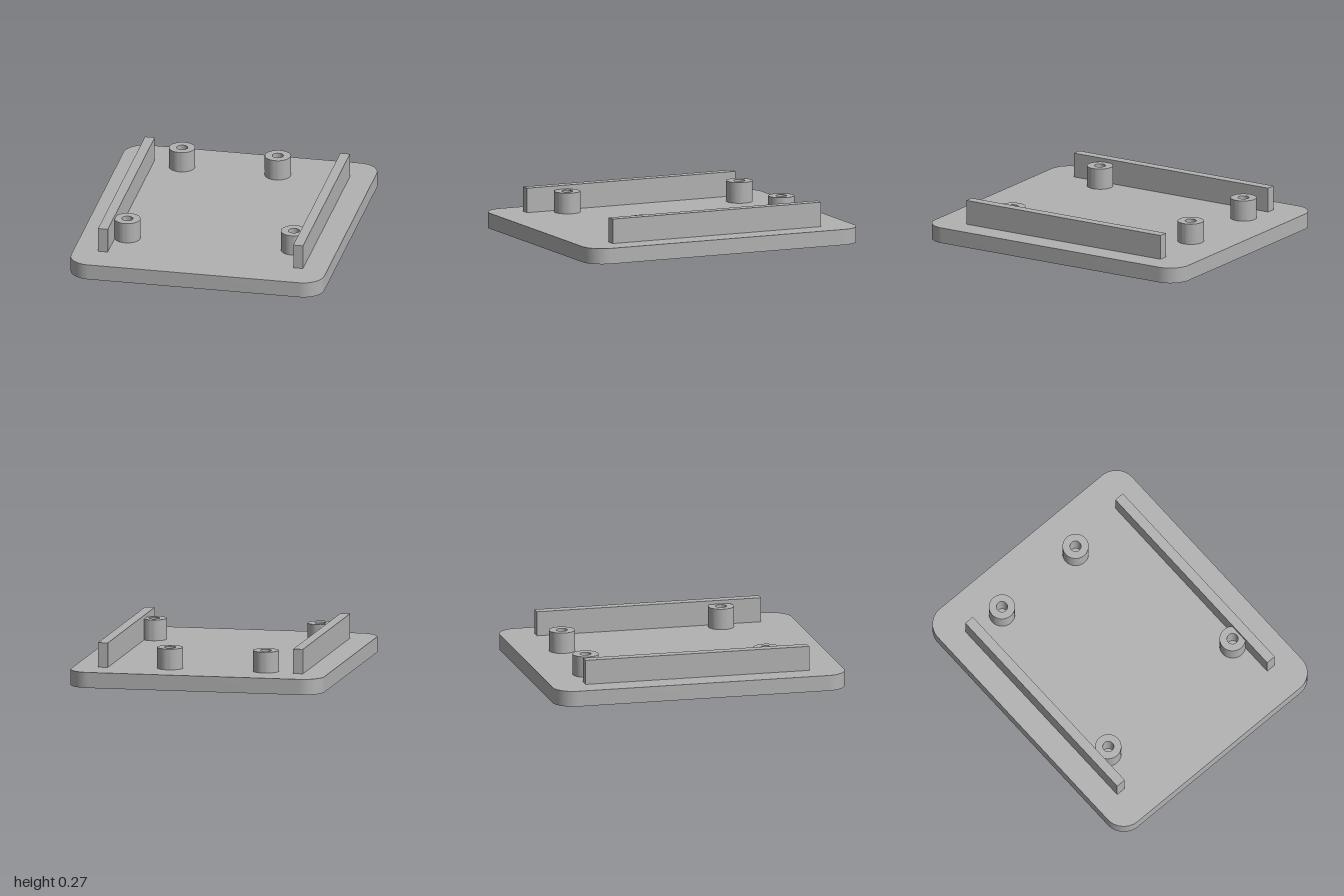
import * as THREE from 'three';
import { toCreasedNormals } from 'three/addons/utils/BufferGeometryUtils.js';

const PLATE_TOP = 0.105;

// Extrudes a plan outline upwards from y = 0, smooth round the curves
function extrudeUp(shape, height, curveSegments) {
  const geometry = new THREE.ExtrudeGeometry(shape, { depth: height, bevelEnabled: false, curveSegments });
  geometry.rotateX(-Math.PI / 2);
  return toCreasedNormals(geometry, 0.6);
}

function roundedRectangle(halfX, halfY, r) {
  const shape = new THREE.Shape();
  shape.absarc(halfX - r, halfY - r, r, 0, Math.PI / 2);
  shape.absarc(-halfX + r, halfY - r, r, Math.PI / 2, Math.PI);
  shape.absarc(-halfX + r, -halfY + r, r, Math.PI, Math.PI * 1.5);
  shape.absarc(halfX - r, -halfY + r, r, Math.PI * 1.5, Math.PI * 2);
  shape.closePath();
  return shape;
}

export function createModel() {
  const model = new THREE.Group();
  model.name = 'mountingPlate';
  const grey = new THREE.MeshStandardMaterial({ color: 0xb2b2b2 });
  grey.name = 'grey plastic';

  const add = (name, geometry, x, y, z) => {
    const mesh = new THREE.Mesh(geometry, grey);
    mesh.name = name;
    mesh.position.set(x, y, z);
    model.add(mesh);
  };

  // Base plate with rounded corners
  add('basePlate', extrudeUp(roundedRectangle(0.86, 1, 0.143), PLATE_TOP, 16), 0, 0, 0);

  // Side rails
  const railGeometry = new THREE.BoxGeometry(0.066, 0.165, 1.534);
  for (const side of [-1, 1]) {
    add(side > 0 ? 'leftRail' : 'rightRail', railGeometry, side * 0.663, PLATE_TOP + 0.0825, 0);
  }

  // Hollow screw posts
  const ring = new THREE.Shape();
  ring.absarc(0, 0, 0.087, 0, Math.PI * 2);
  const bore = new THREE.Path();
  bore.absarc(0, 0, 0.037, 0, Math.PI * 2, true);
  ring.holes.push(bore);
  const postGeometry = extrudeUp(ring, 0.14, 32);
  const posts = [
    ['backRightPost', -0.43, -0.7],
    ['backLeftPost', 0.22, -0.7],
    ['frontRightPost', -0.55, 0.51],
    ['frontLeftPost', 0.575, 0.48],
  ];
  for (const [name, x, z] of posts) add(name, postGeometry, x, PLATE_TOP, z);

  return model;
}
